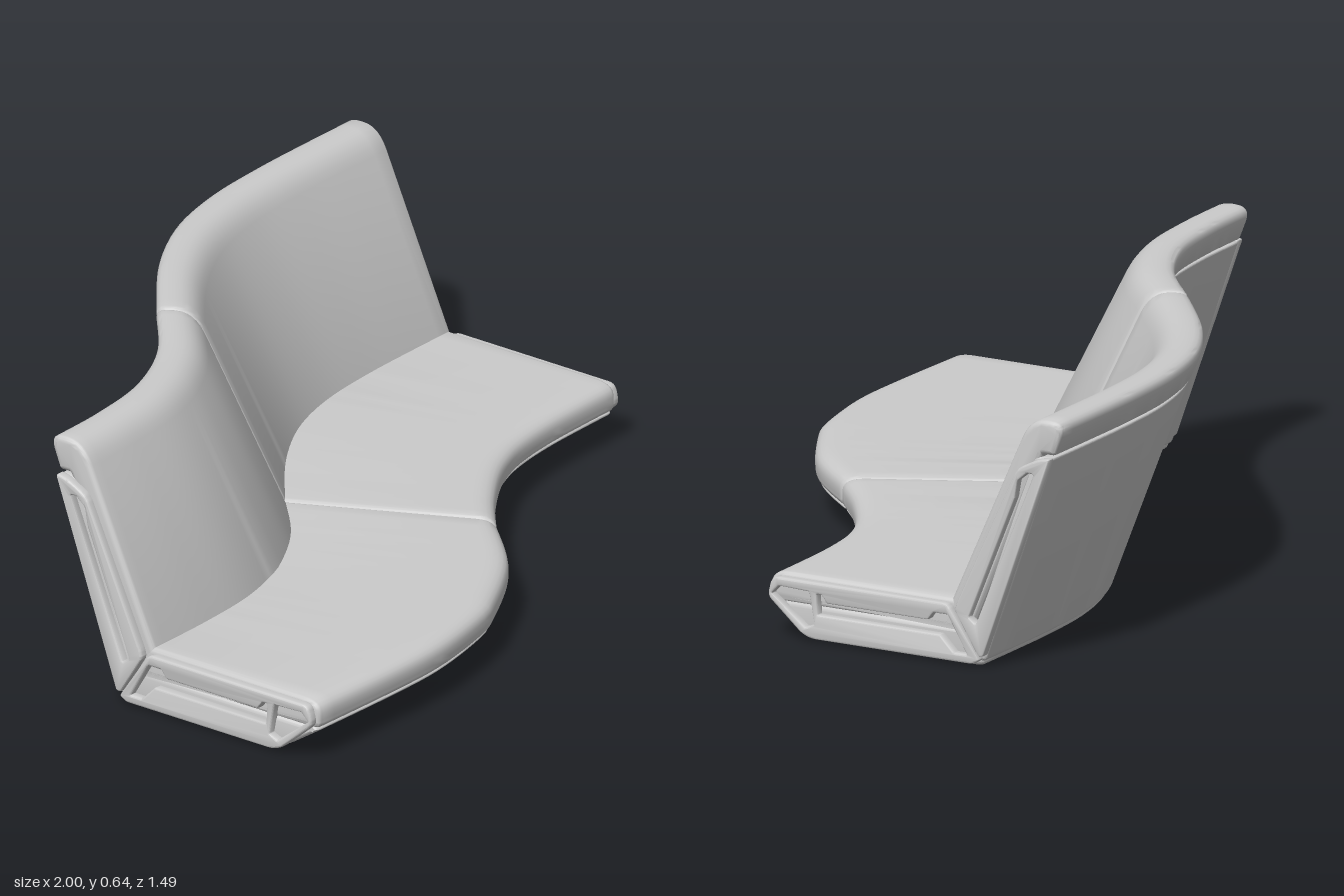
import * as THREE from 'three';
import { toCreasedNormals } from 'three/addons/utils/BufferGeometryUtils.js';

const DEPTH = 0.815; // section depth from seat nose to back top
const material = new THREE.MeshStandardMaterial({ color: 0xcccccc, side: THREE.DoubleSide });

// Plan curves: points are [x, z]
const plan = pts => new THREE.SplineCurve(pts.map(p => new THREE.Vector2(...p)));
const modules = [
  {
    name: 'rightModule',
    front: plan([[-0.98, 0.735], [-0.7, 0.738], [-0.5, 0.73], [-0.3, 0.69], [-0.2, 0.65], [0, 0.53], [0.16, 0.365]]),
    back: plan([[-0.98, -0.09], [-0.8, -0.1], [-0.6, -0.135], [-0.4, -0.23], [-0.22, -0.378]]),
  },
  {
    name: 'leftModule',
    front: plan([[0.16, 0.365], [0.27, 0.27], [0.4, 0.18], [0.5, 0.13], [0.6, 0.1], [0.75, 0.08], [0.98, 0.07]]),
    back: plan([[-0.22, -0.378], [0, -0.55], [0.2, -0.66], [0.4, -0.715], [0.6, -0.735], [0.8, -0.742], [0.98, -0.745]]),
  },
];

// Polygon with rounded corners: [w, y, radius], w runs from front to back
function rounded(corners, Type = THREE.Shape) {
  const path = new Type();
  const n = corners.length;
  const v = corners.map(c => new THREE.Vector2(c[0], c[1]));
  const toward = (i, j) => {
    const d = v[j].clone().sub(v[i]);
    const r = Math.min(corners[i][2] ?? 0.004, d.length() * 0.45);
    return v[i].clone().add(d.setLength(r));
  };
  const start = toward(0, 1);
  path.moveTo(start.x, start.y);
  for (let k = 1; k <= n; k++) {
    const i = k % n;
    const a = toward(i, (i + n - 1) % n), b = toward(i, (i + 1) % n);
    path.lineTo(a.x, a.y);
    path.quadraticCurveTo(v[i].x, v[i].y, b.x, b.y);
  }
  return path;
}

// Shrink a closed section along its normals
function inset(pts, amount) {
  const n = pts.length;
  return pts.map((p, i) => {
    const a = pts[(i + n - 1) % n], b = pts[(i + 1) % n];
    const t = b.clone().sub(a).normalize();
    return new THREE.Vector2(p.x - t.y * amount, p.y + t.x * amount);
  });
}

// Sweep a section between the front and back plan curves, with softened ends
function sweep(name, module, corners, bevel) {
  const profile = rounded(corners).getPoints(6);
  if (profile[0].distanceTo(profile[profile.length - 1]) < 1e-5) profile.pop();
  const n = profile.length;
  const length = (module.front.getLength() + module.back.getLength()) / 2;
  const edge = [0, 0.12, 0.35, 0.65].map(e => ({
    u: (e * bevel + 0.001) / length,
    r: bevel * (1 - Math.sqrt(1 - (1 - e) ** 2)),
  }));
  const stations = [...edge];
  for (let i = 0; i <= 32; i++) stations.push({ u: THREE.MathUtils.lerp(bevel / length + 0.002, 1 - bevel / length - 0.002, i / 32), r: 0 });
  stations.push(...edge.map(e => ({ u: 1 - e.u, r: e.r })).reverse());

  const pos = [], index = [];
  stations.forEach(({ u, r }, j) => {
    const f = module.front.getPointAt(u), b = module.back.getPointAt(u);
    for (const p of inset(profile, r)) {
      const q = f.clone().lerp(b, p.x / DEPTH);
      pos.push(q.x, p.y, q.y);
    }
    if (j === 0) return;
    for (let i = 0; i < n; i++) {
      const a = (j - 1) * n + i, c = (j - 1) * n + (i + 1) % n;
      index.push(a, c, c + n, a, c + n, a + n);
    }
  });
  const last = (stations.length - 1) * n;
  for (const [a, b, c] of THREE.ShapeUtils.triangulateShape(profile, [])) {
    index.push(a, c, b, last + a, last + b, last + c);
  }
  const geometry = new THREE.BufferGeometry();
  geometry.setAttribute('position', new THREE.Float32BufferAttribute(pos, 3));
  geometry.setIndex(index);
  const mesh = new THREE.Mesh(toCreasedNormals(geometry, 0.6), material);
  mesh.name = name;
  return mesh;
}

// Sections of the upholstery
const seatCushion = [[0, 0.084, 0.025], [0.58, 0.084], [0.53, 0.16, 0.01], [0, 0.16, 0.055]];
const seatBase = [[0.008, 0.08, 0.008], [0.13, 0, 0.05], [0.605, 0, 0.025], [0.585, 0.09], [0.02, 0.09]];
const backCushion = [[0.478, 0.09], [0.57, 0.09], [0.765, 0.552], [0.797, 0.552, 0.008], [0.832, 0.64, 0.055], [0.728, 0.64, 0.06]];
const backShell = [[0.55, 0.02], [0.605, 0.01, 0.02], [0.793, 0.546, 0.008], [0.74, 0.546]];

// End plates with recessed outlines
const seatPlate = [[0.003, 0.1, 0.015], [0.11, 0.008, 0.03], [0.58, 0.008, 0.01], [0.6, 0.02, 0.008], [0.51, 0.15, 0.015], [0.015, 0.15, 0.02]];
const seatRecesses = [
  [[0.015, 0.108], [0.11, 0.035], [0.135, 0.045], [0.12, 0.125], [0.035, 0.128]],
  [[0.145, 0.07], [0.49, 0.07], [0.53, 0.03], [0.565, 0.03], [0.51, 0.122], [0.47, 0.122], [0.455, 0.102], [0.17, 0.102], [0.155, 0.122], [0.142, 0.122]],
];
const backPlate = [[0.596, 0.03], [0.61, 0.03, 0.008], [0.798, 0.55, 0.01], [0.765, 0.545, 0.02], [0.705, 0.515, 0.02], [0.535, 0.155, 0.01], [0.53, 0.135, 0.01]];
const backRecesses = [[[0.57, 0.125], [0.59, 0.11], [0.752, 0.505], [0.735, 0.507], [0.708, 0.485], [0.7, 0.44]]];

function endPlate(name, outline, recesses, x, z) {
  const shape = rounded(outline);
  shape.holes = recesses.map(r => rounded(r, THREE.Path));
  const geometry = new THREE.ExtrudeGeometry(shape, {
    depth: 0.015, bevelThickness: 0.006, bevelSize: 0.005, bevelOffset: -0.005, bevelSegments: 3, curveSegments: 5,
  });
  const mesh = new THREE.Mesh(toCreasedNormals(geometry, 0.6), material);
  mesh.name = name;
  mesh.rotation.y = Math.PI / 2;
  mesh.position.set(x, 0, z);
  return mesh;
}

export function createModel() {
  const sofa = new THREE.Group();
  sofa.name = 'curvedSofa';
  modules.forEach((module, k) => {
    const group = new THREE.Group();
    group.name = module.name;
    const x = k ? 0.979 : -0.994;
    const z = k ? 0.07 : 0.73;
    group.add(
      sweep('seatCushion', module, seatCushion, 0.014),
      sweep('seatBase', module, seatBase, 0.014),
      sweep('backCushion', module, backCushion, 0.014),
      sweep('backShell', module, backShell, 0.008),
      endPlate('seatEndPlate', seatPlate, seatRecesses, x, z),
      endPlate('backEndPlate', backPlate, backRecesses, x, z),
    );
    sofa.add(group);
  });
  return sofa;
}
